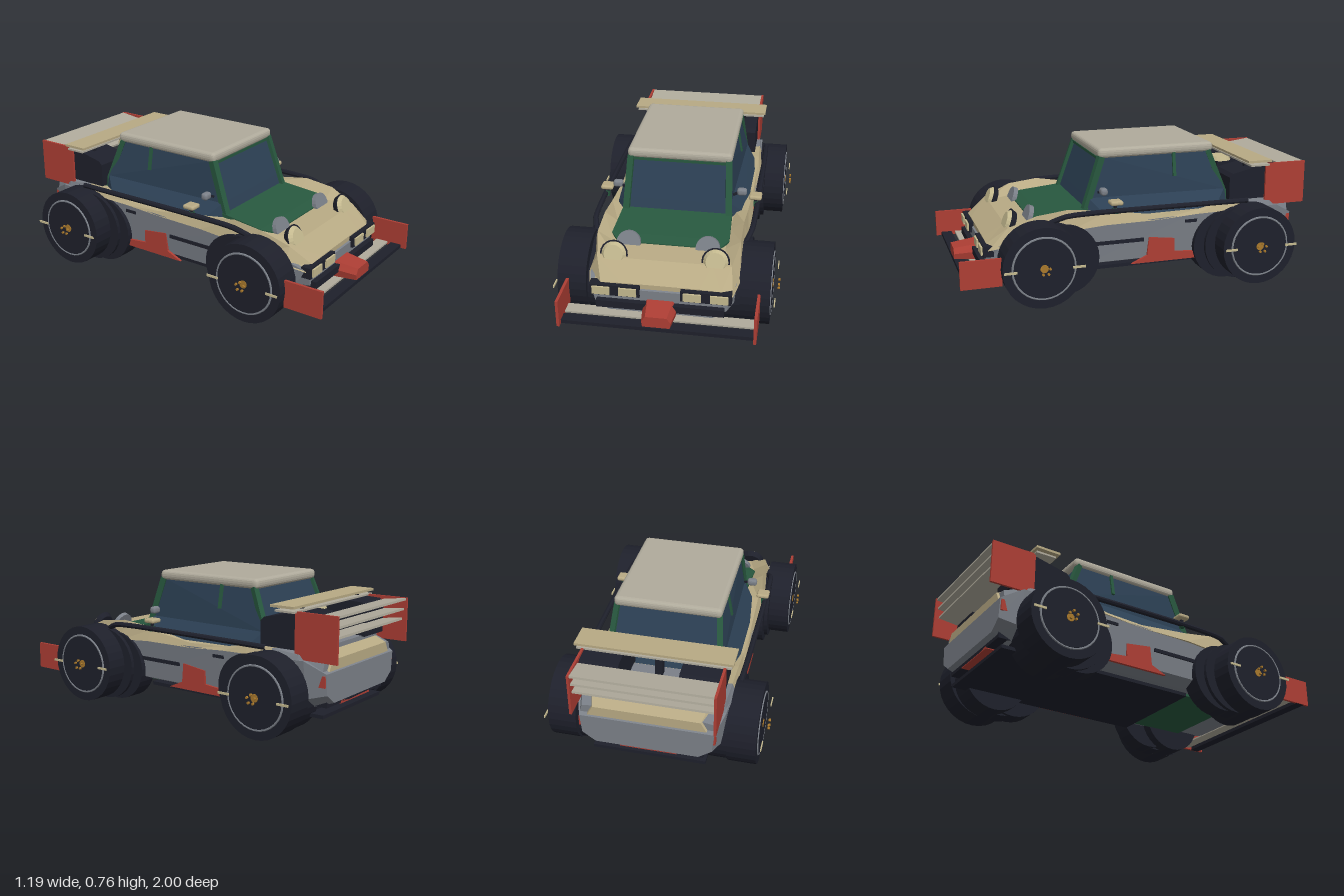
import * as THREE from 'three';
import { RoundedBoxGeometry } from 'three/addons/geometries/RoundedBoxGeometry.js';
import { ConvexGeometry } from 'three/addons/geometries/ConvexGeometry.js';

const C = { tan: 0xb8aa84, roof: 0xb0ab9c, green: 0x28583f, glass: 0x2c4054, dark: 0x1e202b,
  grey: 0x7b8088, red: 0xad3e34, gold: 0xa8782c, cream: 0xc4b98f };
const mats = {};
const mat = (c) => (mats[c] ??= new THREE.MeshStandardMaterial({ color: C[c], flatShading: true }));
const V = (x, y, z) => new THREE.Vector3(x, y, z);

// Hull through mirrored half sections, ordered front to back: [z, [[x, y], ...bottom to top]]
function loft(sections) {
  const rings = sections.map(([z, half]) => [
    ...half.map(([x, y]) => V(x, y, z)),
    ...half.slice().reverse().map(([x, y]) => V(-x, y, z))]);
  const pts = [], n = rings[0].length;
  for (let k = 0; k + 1 < rings.length; k++) for (let i = 0; i < n; i++) {
    const j = (i + 1) % n, [a, b, c, d] = [rings[k][i], rings[k][j], rings[k + 1][j], rings[k + 1][i]];
    pts.push(a, d, c, a, c, b);
  }
  const last = rings[rings.length - 1];
  for (let i = 1; i + 1 < n; i++) {
    pts.push(rings[0][0], rings[0][i], rings[0][i + 1]);
    pts.push(last[0], last[i + 1], last[i]);
  }
  const g = new THREE.BufferGeometry().setFromPoints(pts);
  g.computeVertexNormals();
  return g;
}

// Side profile of [z, y] points extruded across x
function sideExtrude(points, x0, width) {
  const shape = new THREE.Shape(points.map(([z, y]) => new THREE.Vector2(-z, y)));
  return new THREE.ExtrudeGeometry(shape, { depth: width, bevelEnabled: false })
    .rotateY(Math.PI / 2).translate(x0, 0, 0);
}

// Convex solid mirrored across x
const mirroredHull = (points) => new ConvexGeometry(points.flatMap(([x, y, z]) => [V(x, y, z), V(-x, y, z)]));

export function createModel() {
  const root = new THREE.Group();
  root.name = 'rallyCar';
  const add = (name, geo, color, parent = root) => {
    const m = new THREE.Mesh(geo, mat(color));
    m.name = name;
    parent.add(m);
    return m;
  };
  // Box from its extents
  const box = (name, c, x0, x1, y0, y1, z0, z1, p) => add(name, new THREE.BoxGeometry(
    Math.abs(x1 - x0), y1 - y0, Math.abs(z1 - z0)).translate((x0 + x1) / 2, (y0 + y1) / 2, (z0 + z1) / 2), c, p);
  const bar = (name, c, a, b, w) => {
    const m = add(name, new THREE.BoxGeometry(w, w, a.distanceTo(b)), c);
    m.position.copy(a).lerp(b, 0.5);
    m.lookAt(b);
  };
  const disc = (name, c, r0, r1, depth, pos, tilt) => {
    const m = add(name, new THREE.CylinderGeometry(r0, r1, depth, 20), c);
    m.rotation.x = tilt;
    m.position.copy(pos);
  };

  // Lower hull, floor and upper shell
  add('lowerBody', loft([
    [0.84, [[0.27, 0.15], [0.34, 0.2], [0.36, 0.28]]],
    [0.76, [[0.28, 0.13], [0.37, 0.2], [0.38, 0.31]]],
    [0.3, [[0.3, 0.13], [0.38, 0.16], [0.4, 0.37]]],
    [-0.3, [[0.3, 0.13], [0.38, 0.16], [0.4, 0.39]]],
    [-0.82, [[0.28, 0.14], [0.37, 0.2], [0.39, 0.4]]],
    [-0.93, [[0.27, 0.18], [0.34, 0.23], [0.35, 0.34]]]]), 'grey');
  box('floor', 'dark', -0.3, 0.3, 0.093, 0.112, 0.26, -0.885);
  box('floorCore', 'dark', -0.25, 0.25, 0.112, 0.135, 0.24, -0.8);
  box('frontUndertray', 'green', -0.26, 0.26, 0.115, 0.135, 0.62, 0.24);
  add('noseShell', loft([
    [0.83, [[0.37, 0.28], [0.31, 0.305], [0.2, 0.31]]],
    [0.72, [[0.395, 0.3], [0.35, 0.39], [0.25, 0.39]]],
    [0.57, [[0.405, 0.33], [0.38, 0.45], [0.3, 0.4]]],
    [0.4, [[0.41, 0.36], [0.38, 0.47], [0.31, 0.42]]],
    [0.2, [[0.41, 0.375], [0.385, 0.435], [0.31, 0.43]]],
    [-0.1, [[0.4, 0.375], [0.39, 0.4], [0.31, 0.41]]]]), 'tan');
  add('rearShell', loft([
    [-0.1, [[0.4, 0.375], [0.39, 0.4], [0.31, 0.41]]],
    [-0.32, [[0.405, 0.39], [0.39, 0.41], [0.31, 0.41]]],
    [-0.48, [[0.41, 0.395], [0.39, 0.44], [0.33, 0.43]]],
    [-0.63, [[0.405, 0.39], [0.385, 0.44], [0.32, 0.43]]]]), 'tan');
  add('tailShell', loft([
    [-0.63, [[0.405, 0.39], [0.385, 0.44], [0.32, 0.43]]],
    [-0.78, [[0.39, 0.38], [0.375, 0.425], [0.3, 0.43]]],
    [-0.91, [[0.355, 0.34], [0.34, 0.39], [0.28, 0.4]]]]), 'grey');
  add('tailPanel', loft([
    [-0.85, [[0.33, 0.36], [0.3, 0.425]]],
    [-0.922, [[0.31, 0.345], [0.28, 0.4]]]]), 'tan');
  add('hood', loft([
    [0.58, [[0.27, 0.37], [0.27, 0.405]]],
    [0.52, [[0.315, 0.38], [0.315, 0.42]]],
    [0.2, [[0.3, 0.4], [0.3, 0.455]]]]), 'green');
  box('rearDeck', 'grey', -0.33, 0.33, 0.41, 0.445, -0.58, -0.84);

  // Cabin: upright windows on a flared sill
  const sill = [[0.293, 0.5, 0.262], [0.315, 0.5, -0.525]];
  add('windows', mirroredHull([...sill, [0.275, 0.72, 0.185], [0.275, 0.72, -0.44]]), 'glass');
  add('lowerWindows', mirroredHull([...sill, [0.295, 0.43, 0.285], [0.372, 0.405, 0.18],
    [0.378, 0.415, -0.45], [0.3, 0.41, -0.57]]), 'glass');
  add('roof', new RoundedBoxGeometry(0.58, 0.055, 0.67, 2, 0.022).translate(0, 0.738, -0.13), 'roof');
  box('windscreenTopRail', 'green', -0.28, 0.28, 0.7, 0.715, 0.185, 0.2);

  // Front bumper and splitter
  box('bumperBar', 'dark', -0.33, 0.33, 0.18, 0.22, 0.82, 0.87);
  add('noseBlock', loft([
    [0.97, [[0.07, 0.155], [0.075, 0.185], [0.055, 0.215]]],
    [0.8, [[0.085, 0.145], [0.095, 0.195], [0.07, 0.235]]]]), 'red');
  box('splitterBlade', 'dark', -0.5, 0.5, 0.13, 0.15, 0.91, 0.97);
  box('splitterSlat', 'roof', -0.5, 0.5, 0.139, 0.149, 0.82, 0.89);

  // Rear wing, lamp and bumper
  box('topWing', 'tan', -0.41, 0.41, 0.655, 0.668, -0.63, -0.77);
  box('lowerWing', 'roof', -0.4, 0.4, 0.632, 0.642, -0.65, -0.765);
  for (const [y, z] of [[0.625, -0.93], [0.57, -0.92], [0.515, -0.91]]) {
    const slat = add('wingSlat', new THREE.BoxGeometry(0.72, 0.012, 0.13), 'roof');
    slat.position.set(0, y, z);
    slat.rotation.x = 0.12;
  }
  disc('rearDeckLamp', 'cream', 0.06, 0.07, 0.025, V(0, 0.61, -0.633), 0);
  bar('lampPost', 'dark', V(0, 0.43, -0.633), V(0, 0.6, -0.634), 0.04);
  box('rearBumper', 'dark', -0.29, 0.29, 0.15, 0.19, -0.8, -0.9);
  box('rearReflector', 'red', -0.15, 0.15, 0.145, 0.165, -0.82, -0.9);

  for (const s of [1, -1]) {
    const P = (x, y, z) => V(s * x, y, z);
    // Pillars and side tube
    bar('frontPillar', 'green', P(0.285, 0.43, 0.285), P(0.27, 0.72, 0.185), 0.035);
    bar('middlePillar', 'green', P(0.3, 0.59, -0.23), P(0.277, 0.72, -0.23), 0.018);
    bar('rearPillar', 'green', P(0.305, 0.42, -0.555), P(0.273, 0.72, -0.437), 0.03);
    const path = new THREE.CatmullRomCurve3([P(0.4, 0.41, 0.51), P(0.425, 0.445, 0.43),
      P(0.43, 0.453, 0.34), P(0.43, 0.453, -0.4), P(0.425, 0.45, -0.62)]);
    add('sideTube', new THREE.TubeGeometry(path, 24, 0.015, 8), 'dark');

    // Side trim
    add('sidePanel', sideExtrude([[0.05, 0.135], [-0.04, 0.175], [-0.05, 0.28], [-0.2, 0.26],
      [-0.2, 0.185], [-0.36, 0.17], [-0.36, 0.135]], s > 0 ? 0.38 : -0.395, 0.015), 'red');
    box('sideStripe', 'dark', s * 0.37, s * 0.397, 0.26, 0.28, 0.27, -0.02);
    box('sideVent', 'dark', s * 0.38, s * 0.402, 0.345, 0.362, -0.26, -0.33);

    // Lamps
    disc('headlampBowl', 'dark', 0.074, 0.06, 0.03, P(0.265, 0.395, 0.69), 1.2);
    disc('headlampLens', 'cream', 0.05, 0.066, 0.02, P(0.265, 0.404, 0.712), 1.2);
    disc('hoodLamp', 'grey', 0.064, 0.064, 0.025, P(0.21, 0.405, 0.585), 1.2);
    box('fogLampHousing', 'dark', s * 0.105, s * 0.365, 0.245, 0.305, 0.8, 0.855);
    for (const x of [0.12, 0.258]) box('fogLamp', 'cream', s * x, s * (x + 0.092), 0.253, 0.297, 0.85, 0.865);
    box('tailLamp', 'red', s * 0.33, s * 0.356, 0.27, 0.33, -0.89, -0.925);

    // Mirrors and hinge knobs
    box('mirrorBase', 'green', s * 0.41, s * 0.435, 0.44, 0.47, 0.14, 0.165);
    add('mirror', new RoundedBoxGeometry(0.07, 0.025, 0.07, 2, 0.011).translate(s * 0.42, 0.5, 0.15), 'tan');
    bar('mirrorStem', 'dark', P(0.42, 0.46, 0.153), P(0.42, 0.495, 0.15), 0.015);
    bar('knobStem', 'dark', P(0.3, 0.53, 0.21), P(0.34, 0.545, 0.195), 0.012);
    add('sideKnob', new RoundedBoxGeometry(0.055, 0.04, 0.04, 2, 0.015).translate(s * 0.347, 0.545, 0.195), 'grey');

    // End plates and engine pods
    box('splitterEndPlate', 'red', s * 0.49, s * 0.505, 0.13, 0.28, 0.785, 1);
    box('wingEndPlate', 'red', s * 0.36, s * 0.373, 0.4, 0.64, -0.755, -1);
    for (const z of [-0.66, -0.73]) box('wingStrut', 'dark', s * 0.27, s * 0.29, 0.6, 0.66, z, z - 0.015);
    add('enginePod', sideExtrude([[-0.54, 0.44], [-0.86, 0.44], [-0.86, 0.6], [-0.84, 0.625],
      [-0.74, 0.63], [-0.56, 0.59], [-0.54, 0.57]], s > 0 ? 0.155 : -0.36, 0.205), 'dark');

    // Wheels with staggered inner drums
    for (const [z, dir] of [[0.575, -1], [-0.643, 1]]) {
      const wheel = new THREE.Group();
      wheel.name = dir < 0 ? 'frontWheel' : 'rearWheel';
      wheel.position.set(0, 0.218, z);
      root.add(wheel);
      const drum = (name, c, r, x0, x1, dy = 0, dz = 0, sides = 32) => add(name,
        new THREE.CylinderGeometry(r, r, x1 - x0, sides)
          .rotateZ(Math.PI / 2).translate(s * (x0 + x1) / 2, dy, dz), c, wheel);
      drum('tyre', 'dark', 0.217, 0.4, 0.552);
      drum('tyreInner', 'dark', 0.187, 0.255, 0.41, -0.03);
      drum('middleDrum', 'dark', 0.205, 0.33, 0.435, -0.007, dir * 0.07);
      drum('innerDrum', 'dark', 0.195, 0.31, 0.415, -0.014, dir * 0.14);
      add('rimRing', new THREE.TorusGeometry(0.165, 0.006, 6, 32).rotateY(Math.PI / 2).translate(s * 0.552, 0, 0), 'grey', wheel);
      drum('rim', 'dark', 0.16, 0.54, 0.556);
      drum('hubCap', 'gold', 0.022, 0.55, 0.559, 0, 0, 12);
      for (let i = 0; i < 5; i++) {
        const a = i * Math.PI * 0.4;
        drum('wheelNut', 'gold', 0.007, 0.583, 0.594, 0.024 * Math.cos(a), 0.024 * Math.sin(a), 6);
      }
      for (const k of [1, -1]) box('rimMarker', 'cream', s * 0.573, s * 0.579, -0.006, 0.006, k * 0.145, k * 0.213, wheel);
    }
  }
  return root;
}
